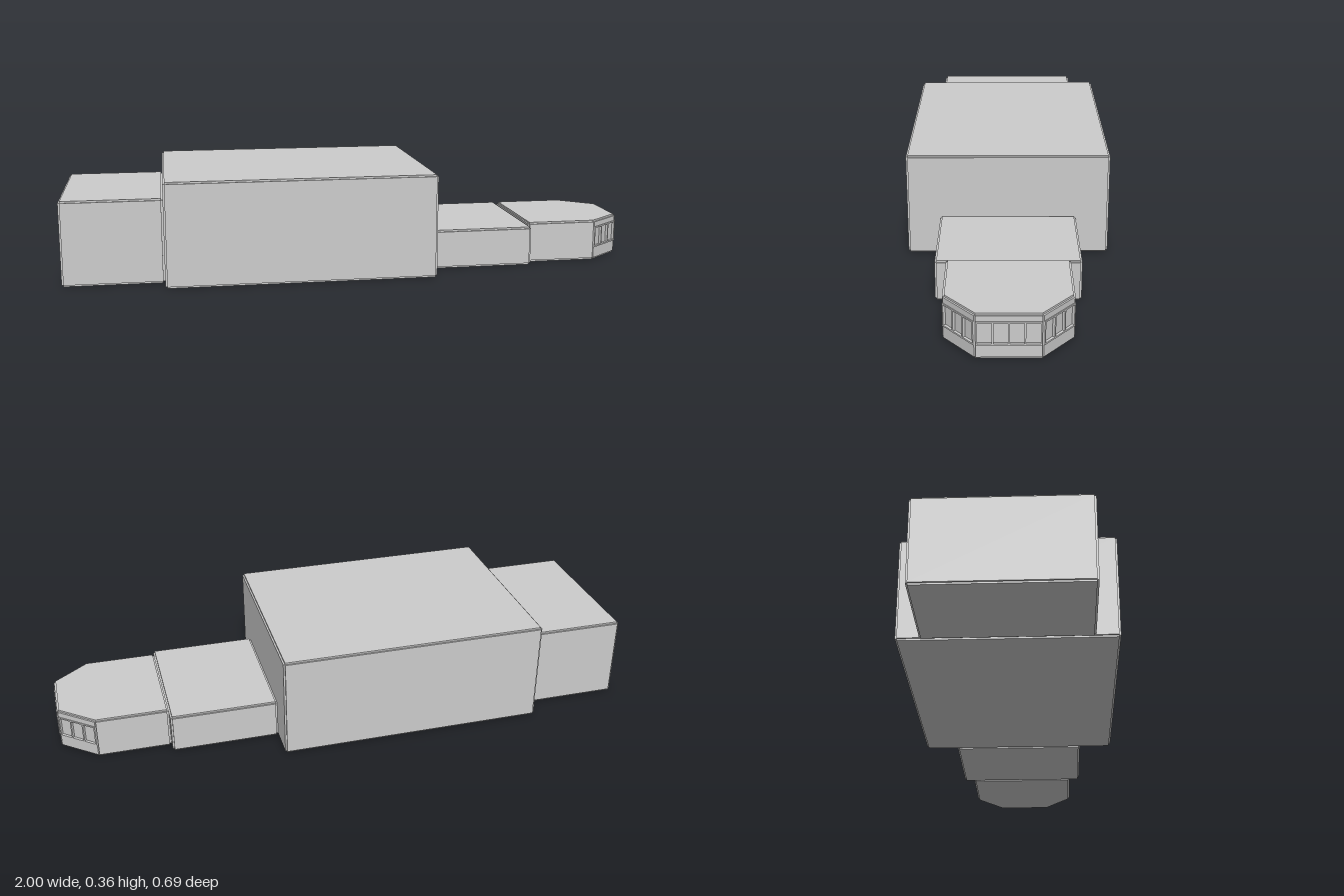
import * as THREE from 'three';

const material = new THREE.MeshStandardMaterial({ color: 0xcccccc, flatShading: true });
const PLATE = 0.006; // thickness of the cladding that leaves notched edges
const FRAME = 0.009; // how far the window frames stand out from the core

function addMesh(parent, name, geometry) {
  const mesh = new THREE.Mesh(geometry, material);
  mesh.name = name;
  parent.add(mesh);
  return mesh;
}

// Vertical prism over a footprint of [x, z] corners
function prism(points, height) {
  const shape = new THREE.Shape(points.map(([x, z]) => new THREE.Vector2(x, -z)));
  const geometry = new THREE.ExtrudeGeometry(shape, { depth: height, bevelEnabled: false });
  return geometry.rotateX(-Math.PI / 2);
}

// Group on the wall from a to b: local x runs along the wall, local z points outward
function wallGroup(parent, name, a, b) {
  const group = new THREE.Group();
  group.name = name;
  group.position.set((a[0] + b[0]) / 2, 0, (a[1] + b[1]) / 2);
  group.rotation.y = Math.atan2(-(b[1] - a[1]), b[0] - a[0]);
  parent.add(group);
  return group;
}

// Slab standing on the wall, from x0 to x1 and y0 to y1
function slab(wall, name, x0, x1, y0, y1, depth) {
  const mesh = addMesh(wall, name, new THREE.BoxGeometry(x1 - x0, y1 - y0, depth));
  mesh.position.set((x0 + x1) / 2, (y0 + y1) / 2, depth / 2);
}

// Block: core prism with a plate on every wall; windows[i] gives panes on wall i
function addBlock(parent, name, points, height, windows = {}) {
  const block = new THREE.Group();
  block.name = name;
  parent.add(block);
  addMesh(block, 'core', prism(points, height));
  points.forEach((a, i) => {
    const b = points[(i + 1) % points.length];
    const half = Math.hypot(b[0] - a[0], b[1] - a[1]) / 2;
    const panes = windows[i];
    const wall = wallGroup(block, panes ? 'windowWall' : 'wall', a, b);
    if (!panes) {
      slab(wall, 'wallPlate', -half, half, PLATE, height - PLATE, PLATE);
      return;
    }
    slab(wall, 'lowerPlate', -half, half, PLATE, 0.045, PLATE);
    slab(wall, 'upperPlate', -half, half, 0.121, height - PLATE, PLATE);
    // Frame rails and mullions around the recessed panes
    slab(wall, 'sill', -half, half, 0.045, 0.05, FRAME);
    slab(wall, 'lintel', -half, half, 0.116, 0.121, FRAME);
    const bar = 0.005;
    for (let k = 0; k <= panes; k++) {
      const x = -half + bar / 2 + ((2 * half - bar) * k) / panes;
      slab(wall, 'mullion', x - bar / 2, x + bar / 2, 0.05, 0.116, FRAME);
    }
  });
}

// Rectangular footprint, inset so the plates end at the given limits
function rectangle(x0, x1, halfZ) {
  const l = x0 + PLATE, r = x1 - PLATE, z = halfZ - PLATE;
  return [[l, z], [r, z], [r, -z], [l, -z]];
}

export function createModel() {
  const model = new THREE.Group();
  model.name = 'steppedBuilding';
  addBlock(model, 'rearBlock', rectangle(-1, -0.66, 0.271), 0.289);
  addBlock(model, 'mainBlock', rectangle(-0.66, 0.26, 0.347), 0.356);
  addBlock(model, 'linkBlock', rectangle(0.26, 0.63, 0.233), 0.137);
  // Nose with a chamfered, glazed end
  const nose = [
    [0.636, 0.19], [0.876, 0.19], [0.991, 0.096],
    [0.991, -0.096], [0.876, -0.19], [0.636, -0.19],
  ];
  addBlock(model, 'noseBlock', nose, 0.145, { 1: 3, 2: 4, 3: 3 });
  return model;
}
